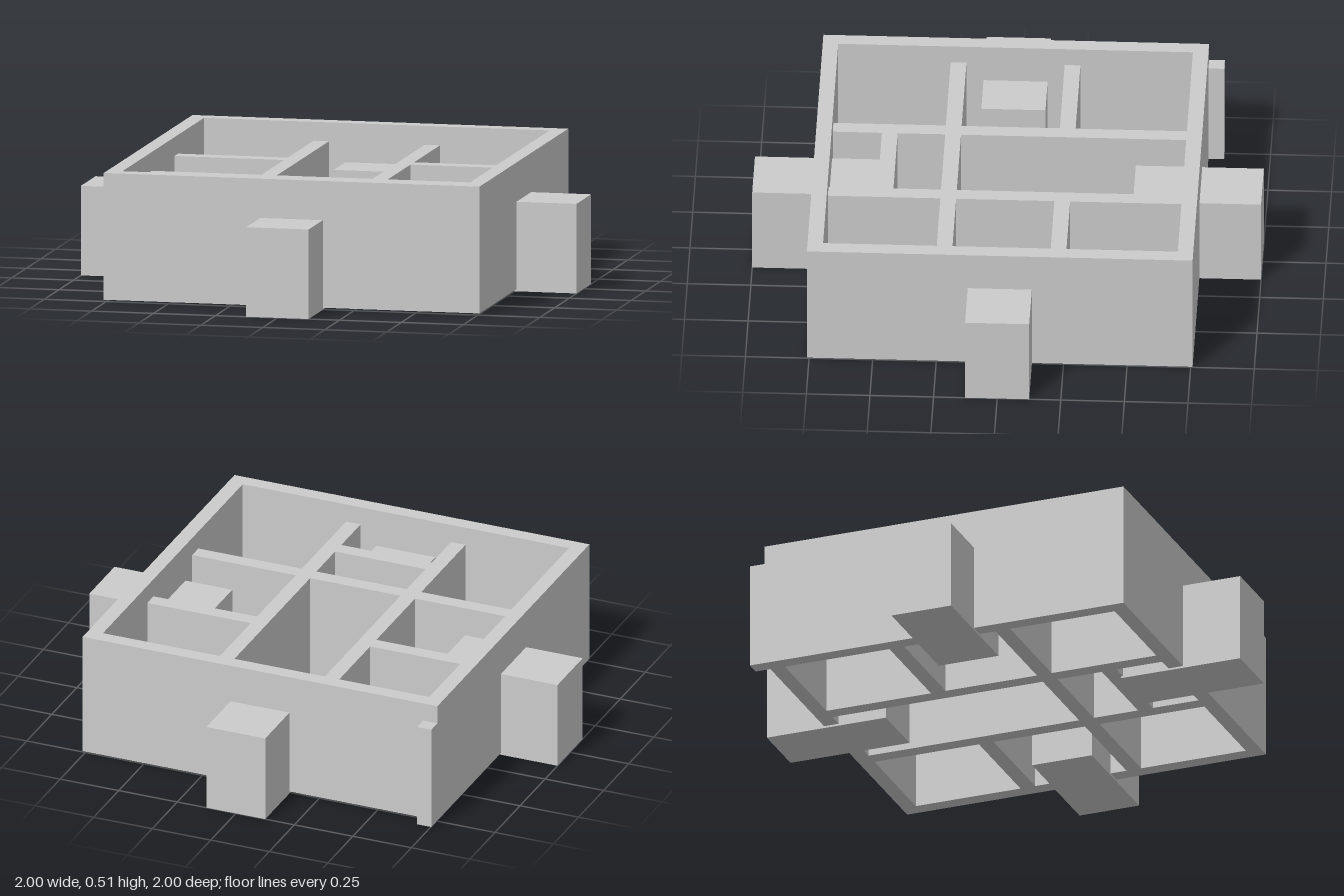
import * as THREE from 'three';

const BASE = 0.008;      // underside of all walls
const RIM_TOP = 0.512;   // top of the outer walls
const WALL_TOP = 0.437;  // top of the partitions
const BLOCK_TOP = 0.356; // top of the doorway blocks
const OUT = 0.758;       // outer face of the outer walls
const INN = 0.697;       // inner face of the outer walls

export function createModel() {
  const model = new THREE.Group();
  model.name = 'floorPlan';
  const material = new THREE.MeshStandardMaterial({ color: 0xcccccc, flatShading: true });

  // Box given by its limits on each axis
  function box(name, x0, x1, y0, y1, z0, z1) {
    const mesh = new THREE.Mesh(new THREE.BoxGeometry(x1 - x0, y1 - y0, z1 - z0), material);
    mesh.position.set((x0 + x1) / 2, (y0 + y1) / 2, (z0 + z1) / 2);
    mesh.name = name;
    model.add(mesh);
  }
  const partition = (name, x0, x1, z0, z1) => box(name, x0, x1, BASE, WALL_TOP, z0, z1);

  // Outer walls: a square ring, open above and below
  const square = (Type, h) => new Type([[-h, -h], [h, -h], [h, h], [-h, h]].map(([x, y]) => new THREE.Vector2(x, y)));
  const ring = square(THREE.Shape, OUT);
  ring.holes.push(square(THREE.Path, INN));
  const ringGeometry = new THREE.ExtrudeGeometry(ring, { depth: RIM_TOP - BASE, bevelEnabled: false });
  ringGeometry.rotateX(-Math.PI / 2);
  const outerWalls = new THREE.Mesh(ringGeometry, material);
  outerWalls.position.y = BASE;
  outerWalls.name = 'outerWalls';
  model.add(outerWalls);

  // Two long partitions, and the side partitions behind the middle
  for (const [side, s] of [['left', 1], ['right', -1]]) {
    const span = (a, b) => (s > 0 ? [a, b] : [-b, -a]);
    partition(side + 'LongPartition', ...span(0.193, 0.255), -INN, INN);
    partition(side + 'BackPartition', ...span(0.255, INN), -0.255, -0.193);
    partition(side + 'FrontPartition', ...span(0.255, INN), 0.193, 0.255);
  }

  // Cross walls of the central corridor
  partition('corridorPartition', -0.193, 0.193, 0.193, 0.255);
  partition('entrancePartition', -0.193, 0.193, 0.442, 0.504);

  // Stub wall past the back right corner
  partition('cornerStub', -OUT, -INN, -0.82, -OUT);

  // Blocks passing through the middle of each outer wall
  const w = 0.126, near = 0.497;
  box('frontBlock', -w, w, 0, BLOCK_TOP, near, 1);
  box('backBlock', -w, w, 0, BLOCK_TOP, -1, -near);
  box('leftBlock', near, 1, 0, BLOCK_TOP, -w, w);
  box('rightBlock', -1, -near, 0, BLOCK_TOP, -w, w);

  return model;
}
